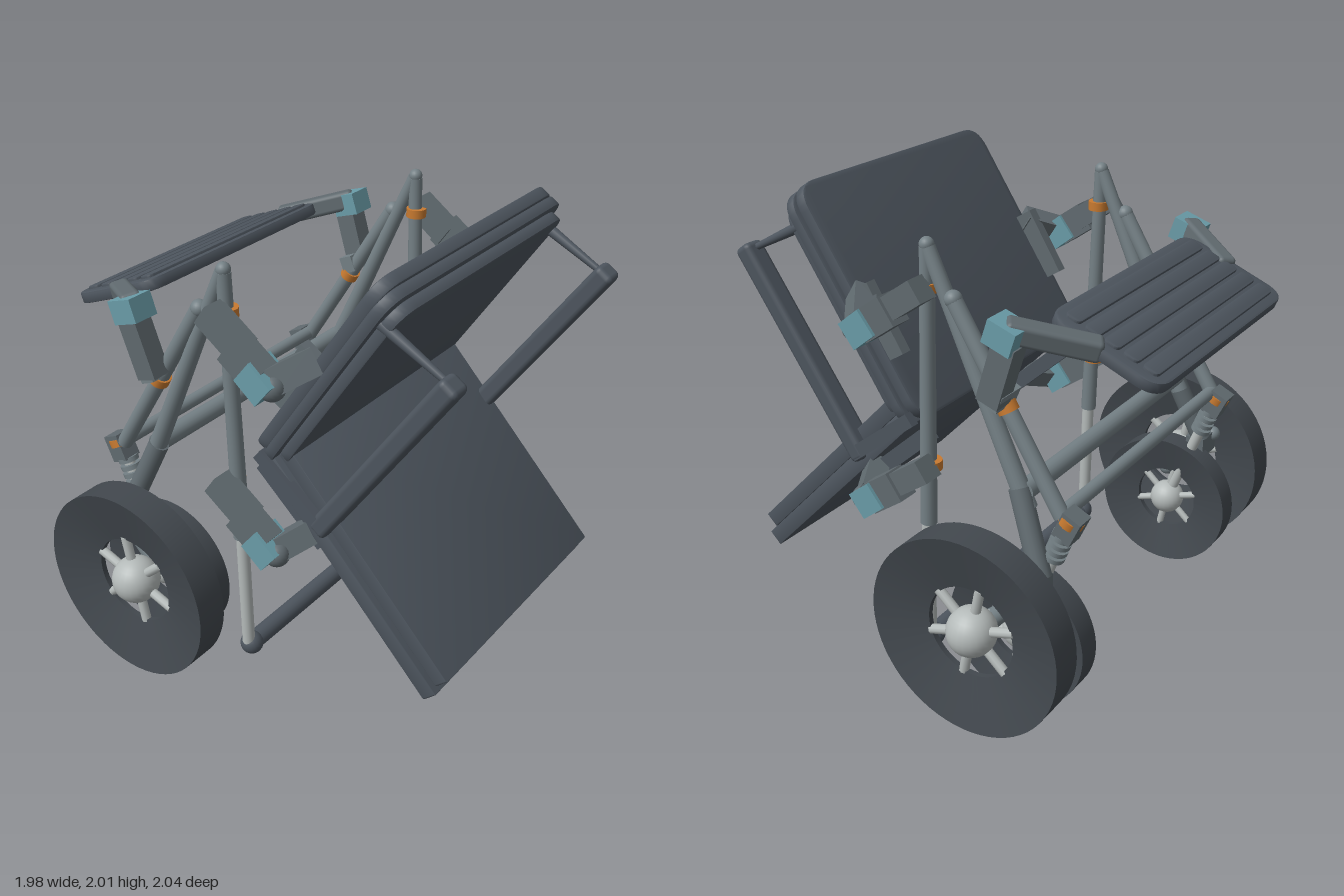
import * as THREE from 'three';
import { toCreasedNormals } from 'three/addons/utils/BufferGeometryUtils.js';
import { RoundedBoxGeometry } from 'three/addons/geometries/RoundedBoxGeometry.js';

const mat = (name, color) => {
  const m = new THREE.MeshStandardMaterial({ color });
  m.name = name;
  return m;
};

export function createModel() {
  const root = new THREE.Group();
  root.name = 'foldingChairWalker';
  const pad = mat('charcoal panel', 0x4d555e);
  const tyre = mat('dark tyre', 0x42484e);
  const steel = mat('frame grey', 0x748085);
  const joint = mat('joint grey', 0x616b70);
  const light = mat('pale metal', 0xb4bab9);
  const teal = mat('teal hinge', 0x6a9ca8);
  const orange = mat('orange ring', 0xc87a30);
  const V = (x, y, z) => new THREE.Vector3(x, y, z);

  const add = (name, geo, m, parent = root) => {
    const mesh = new THREE.Mesh(geo, m);
    mesh.name = name;
    parent.add(mesh);
    return mesh;
  };

  // Round bar between two points, optionally tapered
  const rod = (name, a, b, r, m, rEnd = r) => {
    const d = b.clone().sub(a);
    const mesh = add(name, new THREE.CylinderGeometry(rEnd, r, d.length(), 18), m);
    mesh.position.copy(a).add(b).multiplyScalar(0.5);
    mesh.quaternion.setFromUnitVectors(V(0, 1, 0), d.normalize());
    return mesh;
  };

  // Rectangular bar between two points: h across, w sideways
  const beam = (name, a, b, h, w, m, round = 0) => {
    const d = b.clone().sub(a), len = d.length();
    const geo = round ? new RoundedBoxGeometry(len, h, w, 2, round) : new THREE.BoxGeometry(len, h, w);
    const mesh = add(name, geo, m);
    mesh.position.copy(a).add(b).multiplyScalar(0.5);
    const x = d.normalize();
    const z = V(0, 0, 1).addScaledVector(x, -x.z).normalize();
    mesh.quaternion.setFromRotationMatrix(new THREE.Matrix4().makeBasis(x, z.clone().cross(x), z));
    return mesh;
  };

  const ball = (name, p, r, m) => {
    add(name, new THREE.SphereGeometry(r, 20, 14), m).position.copy(p);
  };

  // Group whose X runs up the panel, Y along z and Z through the thickness
  const panelFrame = (name, x, y, degrees) => {
    const t = THREE.MathUtils.degToRad(degrees), c = Math.cos(t), s = Math.sin(t);
    const g = new THREE.Group();
    g.name = name;
    g.position.set(x, y, 0);
    g.quaternion.setFromRotationMatrix(new THREE.Matrix4().makeBasis(V(c, s, 0), V(0, 0, 1), V(s, -c, 0)));
    root.add(g);
    return g;
  };

  // Rounded slab inside a panel frame
  const slab = (g, name, u0, u1, half, r, depth, offset, m = pad, bevel = 0.008) => {
    const a = u0 + bevel, b = u1 - bevel, h = half - bevel;
    const s = new THREE.Shape();
    s.moveTo(a + r, -h).lineTo(b - r, -h).quadraticCurveTo(b, -h, b, -h + r);
    s.lineTo(b, h - r).quadraticCurveTo(b, h, b - r, h);
    s.lineTo(a + r, h).quadraticCurveTo(a, h, a, h - r);
    s.lineTo(a, -h + r).quadraticCurveTo(a, -h, a + r, -h);
    const geo = new THREE.ExtrudeGeometry(s, {
      depth: depth - 2 * bevel, bevelEnabled: true, bevelSize: bevel,
      bevelThickness: bevel, bevelSegments: 2, curveSegments: 8,
    });
    add(name, toCreasedNormals(geo, 0.6), m, g).position.z = offset + bevel;
  };

  // Backrest of three stepped layers
  const back = panelFrame('backrest', 0.03, 1.12, 56.3);
  slab(back, 'backShell', 0, 1.07, 0.63, 0.1, 0.055, 0);
  slab(back, 'backFrame', 0, 1.06, 0.65, 0.1, 0.05, 0.055);
  slab(back, 'backCushion', 0.03, 1.03, 0.62, 0.1, 0.05, 0.105);

  // Seat of two stacked boards
  const seat = panelFrame('seat', 0.25, 1.13, -46);
  slab(seat, 'seatBoard', -0.06, 1.06, 0.61, 0.005, 0.07, 0, pad, 0.003);
  slab(seat, 'seatBase', -0.1, 1.085, 0.635, 0.005, 0.075, 0.075, pad, 0.003);

  // Ribbed tray
  const tray = panelFrame('tray', -1.0, 1.5, 22);
  slab(tray, 'trayPlate', 0, 0.51, 0.58, 0.09, 0.05, 0);
  for (let i = 0; i < 5; i++) {
    slab(tray, 'trayRib', 0.045 + i * 0.088, 0.115 + i * 0.088, 0.53, 0.02, 0.018, -0.012, pad, 0.005);
  }

  // Wheel with dished faces, ball hub and spokes
  const wheel = (name, x, y, z, R, hole, half, hubR) => {
    const g = new THREE.Group();
    g.name = name;
    g.position.set(x, y, z);
    root.add(g);
    const profile = [[hole, -0.012], [R, -half], [R, half], [hole, 0.012], [hole, -0.012]]
      .map(p => new THREE.Vector2(...p));
    const geo = toCreasedNormals(new THREE.LatheGeometry(profile, 64), 0.5);
    add('tyre', geo, tyre, g).rotation.x = Math.PI / 2;
    add('hub', new THREE.SphereGeometry(hubR, 24, 16), light, g);
    for (let i = 0; i < 6; i++) {
      const a = i * Math.PI / 3 + 0.2, len = hole + 0.01;
      const spoke = add('spoke', new THREE.CylinderGeometry(hubR * 0.2, hubR * 0.2, len, 10), light, g);
      spoke.rotation.z = a;
      spoke.position.set(-Math.sin(a) * len / 2, Math.cos(a) * len / 2, 0);
    }
  };

  for (const s of [1, -1]) {
    const p = (x, y, z) => V(x, y, z * s);

    wheel('largeWheel', -0.405, 0.44, 0.917 * s, 0.435, 0.2, 0.073, 0.105);
    wheel('innerWheel', -0.47, 0.32, 0.657 * s, 0.32, 0.15, 0.053, 0.08);

    // Front leg with telescopic foot
    rod('lowerFrontLeg', p(0, 0.1, 0.66), p(-0.01, 0.7, 0.66), 0.028, light);
    rod('frontLeg', p(-0.012, 0.68, 0.66), p(-0.045, 1.88, 0.66), 0.036, steel, 0.03);
    ball('footCap', p(0, 0.1, 0.64), 0.052, pad);
    ball('frameApex', p(-0.045, 1.89, 0.66), 0.03, steel);

    // Rear leg, its sleeve, and the brace beside it
    rod('rearLeg', p(-0.05, 1.88, 0.66), p(-0.5, 0.9, 0.66), 0.03, steel, 0.04);
    rod('rearLegSleeve', p(-0.46, 0.98, 0.66), p(-0.6, 0.65, 0.72), 0.045, joint);
    rod('rearBrace', p(-0.66, 0.92, 0.67), p(-0.17, 1.7, 0.67), 0.034, steel);
    ball('braceEnd', p(-0.17, 1.7, 0.67), 0.036, steel);

    // Sprung strut down to the inner wheel
    beam('strutHead', p(-0.72, 0.94, 0.66), p(-0.67, 0.83, 0.66), 0.085, 0.085, joint);
    rod('strut', p(-0.68, 0.88, 0.66), p(-0.47, 0.32, 0.66), 0.025, light);
    for (let i = 0; i < 4; i++) {
      const t = 0.07 + i * 0.06;
      rod('springCoil', p(-0.68 + 0.21 * t, 0.88 - 0.56 * t, 0.66),
        p(-0.672 + 0.21 * t, 0.86 - 0.56 * t, 0.66), 0.046, steel);
    }
    rod('strutRing', p(-0.705, 0.925, 0.66), p(-0.69, 0.895, 0.66), 0.052, orange);

    // Large wheel carrier
    rod('wheelArm', p(-0.6, 0.62, 0.77), p(-0.41, 0.42, 0.77), 0.04, steel);
    ball('wheelArmEnd', p(-0.41, 0.42, 0.77), 0.042, steel);
    beam('wheelArmClamp', p(-0.63, 0.61, 0.75), p(-0.54, 0.61, 0.75), 0.1, 0.14, joint);
    ball('clampKnob', p(-0.62, 0.64, 0.81), 0.035, steel);
    rod('axle', p(-0.405, 0.44, 0.74), p(-0.405, 0.44, 0.9), 0.022, light);

    // Hinged arms carrying the backrest and the seat
    for (const y of [1.72, 0.96]) {
      rod('legRing', p(-0.035, y - 0.02, 0.66), p(-0.035, y + 0.02, 0.66), 0.046, orange);
      beam('hingeArm', p(-0.07, y + 0.02, 0.73), p(0.1, y - 0.1, 0.73), 0.1, 0.1, joint);
      beam('hingeFork', p(0.06, y - 0.08, 0.745), p(0.2, y - 0.18, 0.745), 0.13, 0.1, joint);
      beam('hingeBlock', p(0.15, y - 0.14, 0.745), p(0.25, y - 0.22, 0.745), 0.12, 0.13, teal);
      ball('hingePin', p(0.25, y - 0.2, 0.75), 0.055, joint);
    }
    beam('backLink', p(0.23, 1.53, 0.75), p(0.34, 1.6, 0.6), 0.11, 0.09, joint);
    beam('backBracket', p(0.17, 1.36, 0.6), p(0.34, 1.63, 0.6), 0.12, 0.05, joint);
    beam('seatLink', p(0.24, 0.77, 0.74), p(0.32, 0.82, 0.58), 0.1, 0.09, joint);
    beam('seatBracket', p(0.05, 1.03, 0.56), p(0.36, 0.75, 0.56), 0.07, 0.07, pad);

    // Armrest and its links
    beam('armrest', p(0.36, 0.85, 0.607), p(0.95, 1.7, 0.607), 0.09, 0.1, pad, 0.025);
    rod('armrestStrut', p(0.6, 1.85, 0.6), p(0.91, 1.69, 0.6), 0.026, pad, 0.014);
    beam('seatSideRail', p(0.08, 1.12, 0.635), p(0.4, 0.87, 0.635), 0.06, 0.04, pad);

    // Tray support
    beam('trayArm', p(-0.74, 1.58, 0.54), p(-0.45, 1.67, 0.75), 0.09, 0.085, joint, 0.02);
    beam('trayHinge', p(-0.52, 1.63, 0.745), p(-0.4, 1.67, 0.745), 0.1, 0.12, teal);
    beam('trayPost', p(-0.47, 1.62, 0.74), p(-0.385, 1.36, 0.73), 0.1, 0.09, joint);
    beam('trayPostClamp', p(-0.42, 1.41, 0.7), p(-0.39, 1.34, 0.7), 0.07, 0.13, steel);
    rod('braceRing', p(-0.42, 1.3, 0.67), p(-0.4, 1.335, 0.67), 0.043, orange);
  }

  // Cross tubes
  rod('footBar', V(0, 0.1, -0.63), V(0, 0.1, 0.63), 0.042, pad);
  rod('mainCrossTube', V(-0.48, 0.97, -0.66), V(-0.48, 0.97, 0.66), 0.042, steel);
  rod('rearCrossTube', V(-0.66, 0.93, -0.66), V(-0.66, 0.93, 0.66), 0.03, steel);

  return root;
}
